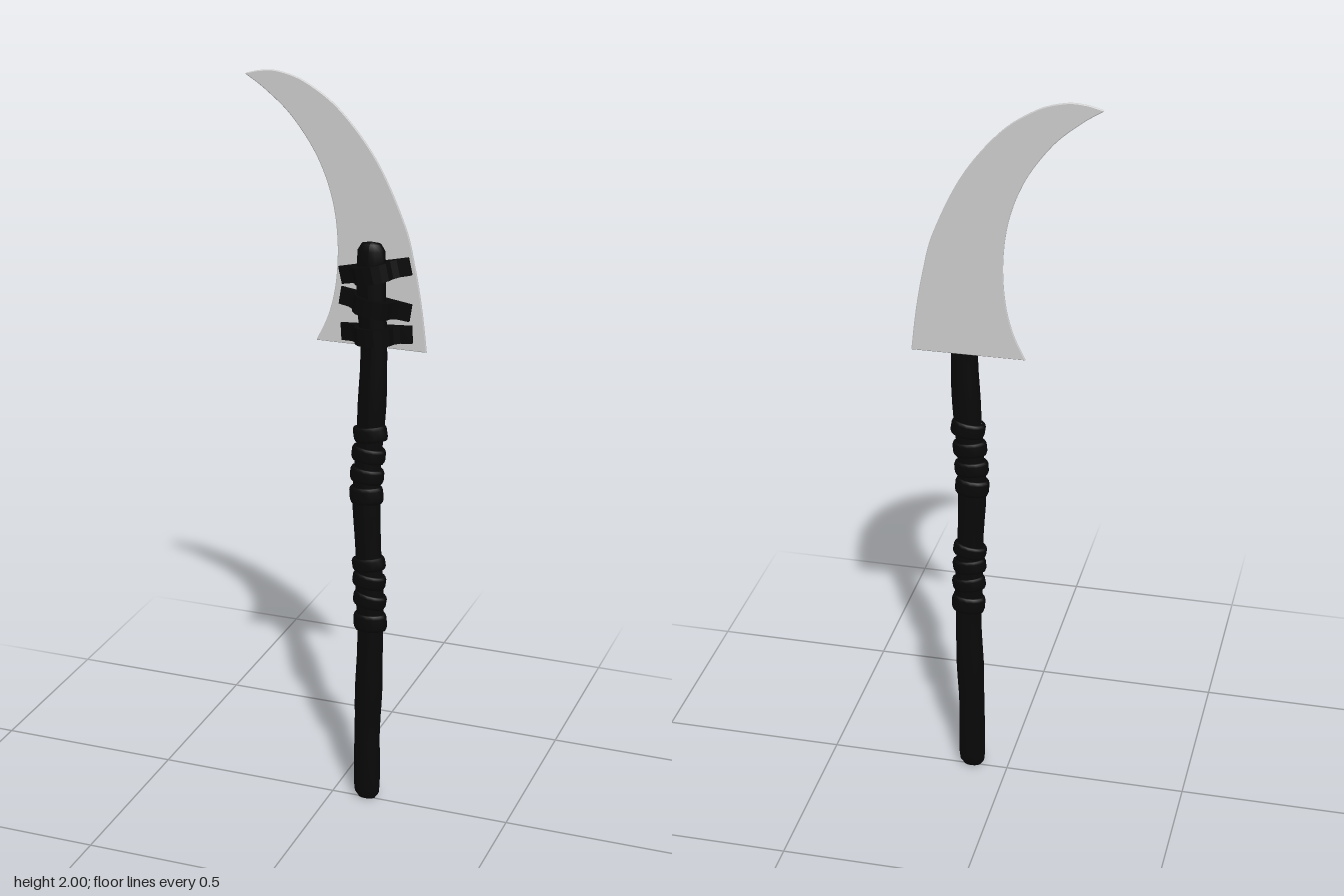
import * as THREE from 'three';

const steel = new THREE.MeshStandardMaterial({ color: 0xcccccc });
const dark = new THREE.MeshStandardMaterial({ color: 0x080808 });

// Centre line of the slightly crooked shaft, as x for each height
const spine = new THREE.CatmullRomCurve3([
  [0.1, 0], [0.1, 0.2], [0.107, 0.5], [0.102, 0.7], [0.094, 0.92],
  [0.105, 1.1], [0.112, 1.3], [0.104, 1.45], [0.104, 1.6],
].map(([x, y]) => new THREE.Vector3(x, y, 0)));
const spinePoints = spine.getPoints(80);

function shaftX(y) {
  const i = spinePoints.findIndex((p) => p.y >= y);
  if (i <= 0) return spinePoints[i < 0 ? 80 : 0].x;
  const a = spinePoints[i - 1], b = spinePoints[i];
  return THREE.MathUtils.lerp(a.x, b.x, (y - a.y) / (b.y - a.y));
}

function add(parent, name, geometry, material) {
  const mesh = new THREE.Mesh(geometry, material);
  mesh.name = name;
  parent.add(mesh);
  return mesh;
}

// Flattened round shaft with domed ends, bent along the centre line
function shaftGeometry() {
  const profile = [[0, 0.005], [0.024, 0.008], [0.034, 0.022], [0.037, 0.05]];
  for (let y = 0.15; y < 1.5; y += 0.05) profile.push([0.037 + 0.0015 * Math.sin(y * 23), y]);
  profile.push([0.038, 1.54], [0.036, 1.57], [0.026, 1.587], [0, 1.592]);
  const geo = new THREE.LatheGeometry(profile.map(([r, y]) => new THREE.Vector2(r, y)), 14);
  const pos = geo.attributes.position;
  geo.scale(1, 1, 0.6);
  for (let i = 0; i < pos.count; i++) pos.setX(i, pos.getX(i) + shaftX(pos.getY(i)));
  geo.computeVertexNormals();
  return geo;
}

// Curved blade outline, widening to a flat base
function bladeGeometry() {
  const v = (list) => list.map(([x, y]) => new THREE.Vector2(x, y));
  const s = new THREE.Shape();
  s.moveTo(-0.053, 1.307);
  s.lineTo(0.242, 1.307);
  s.splineThru(v([[0.228, 1.42], [0.208, 1.53], [0.18, 1.635], [0.106, 1.79], [0.01, 1.91],
    [-0.08, 1.974], [-0.15, 1.997], [-0.2, 1.997], [-0.243, 1.987]]));
  s.splineThru(v([[-0.19, 1.952], [-0.12, 1.89], [-0.053, 1.795], [-0.012, 1.69], [0.004, 1.58],
    [0, 1.47], [-0.02, 1.38], [-0.053, 1.307]]));
  const geo = new THREE.ExtrudeGeometry(s, {
    depth: 0.003, curveSegments: 40, bevelThickness: 0.0015, bevelSize: 0.002, bevelSegments: 1,
  });
  return geo.translate(0, 0, -0.0315);
}

// Strap with flat ends against the blade, arching over the front of the shaft
function strapGeometry(height) {
  const s = new THREE.Shape([
    [-0.096, -0.027], [0.096, -0.027], [0.096, -0.019], [0.066, -0.015], [0.052, -0.004],
    [0.046, 0.012], [0.032, 0.026], [0.01, 0.031], [-0.014, 0.03], [-0.036, 0.024],
    [-0.049, 0.01], [-0.053, -0.005], [-0.066, -0.015], [-0.096, -0.019],
  ].map(([x, z]) => new THREE.Vector2(x, z)));
  const geo = new THREE.ExtrudeGeometry(s, { depth: height, bevelEnabled: false });
  return geo.translate(0, 0, -height / 2).rotateX(Math.PI / 2);
}

// Band around the shaft with softened edges
function bandGeometry(height) {
  const h = height / 2;
  const profile = [[0.034, -h], [0.043, -h], [0.046, -h * 0.6], [0.046, h * 0.6], [0.043, h], [0.034, h]];
  return new THREE.LatheGeometry(profile.map(([r, y]) => new THREE.Vector2(r, y)), 14).scale(1, 1, 0.64);
}

export function createModel() {
  const model = new THREE.Group();
  model.name = 'curvedPolearm';
  add(model, 'shaft', shaftGeometry(), dark);
  add(model, 'blade', bladeGeometry(), steel);

  // Bindings holding the blade: height, x, tilt
  const straps = new THREE.Group();
  straps.name = 'bladeStraps';
  model.add(straps);
  [[1.51, 0.106, 0.22], [1.422, 0.107, -0.15], [1.345, 0.111, 0.06]].forEach(([y, x, tilt]) => {
    const strap = add(straps, 'strap', strapGeometry(0.046), dark);
    strap.position.set(x, y, 0);
    strap.rotation.z = tilt;
  });

  // Two grip wrappings: height, band height, tilt
  const wraps = new THREE.Group();
  wraps.name = 'gripWraps';
  model.add(wraps);
  [
    [1.078, 0.04, 0.15], [1.02, 0.038, -0.1], [0.962, 0.038, -0.08], [0.906, 0.044, 0.07],
    [0.71, 0.034, 0.16], [0.662, 0.036, -0.12], [0.606, 0.036, -0.16], [0.542, 0.046, 0.04],
  ].forEach(([y, height, tilt]) => {
    const band = add(wraps, 'band', bandGeometry(height), dark);
    band.position.set(shaftX(y), y, 0);
    band.rotation.z = tilt;
  });
  return model;
}
